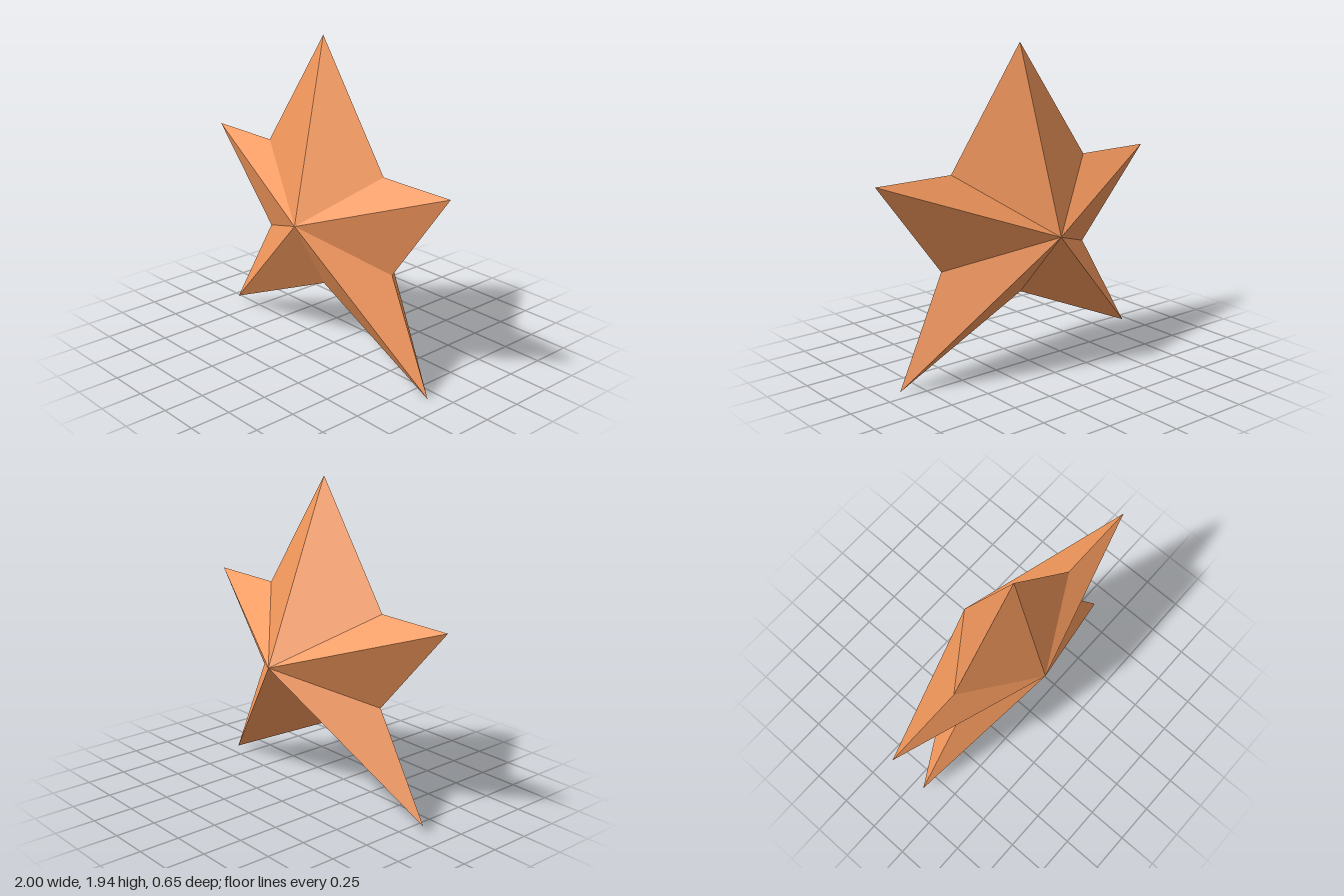
import * as THREE from 'three';

// Star outline, clockwise from the top tip as seen from the front
const outline = [
  [0, 1.94], [0.5, 1.22], [1, 1.22], [0.58, 0.66], [0.88, 0],
  [0, 0.425], [-0.865, 0.05], [-0.5, 0.66], [-1, 1.22], [-0.5, 1.22],
];
const rimZ = 0.08;
const centre = [0.022, 0.858];

// Fan of flat facets from the outline to a raised centre point
function facetedSide(name, apexZ, material) {
  const positions = [];
  outline.forEach((a, i) => {
    const b = outline[(i + 1) % outline.length];
    const [p, q] = apexZ > rimZ ? [b, a] : [a, b];
    positions.push(...centre, apexZ, ...p, rimZ, ...q, rimZ);
  });
  const geometry = new THREE.BufferGeometry();
  geometry.setAttribute('position', new THREE.Float32BufferAttribute(positions, 3));
  geometry.computeVertexNormals();
  const mesh = new THREE.Mesh(geometry, material);
  mesh.name = name;
  return mesh;
}

export function createModel() {
  const star = new THREE.Group();
  star.name = 'star';
  const material = new THREE.MeshStandardMaterial({ color: 0xf4985c, flatShading: true });
  star.add(
    facetedSide('starFront', 0.325, material),
    facetedSide('starBack', -0.325, material),
  );
  return star;
}
